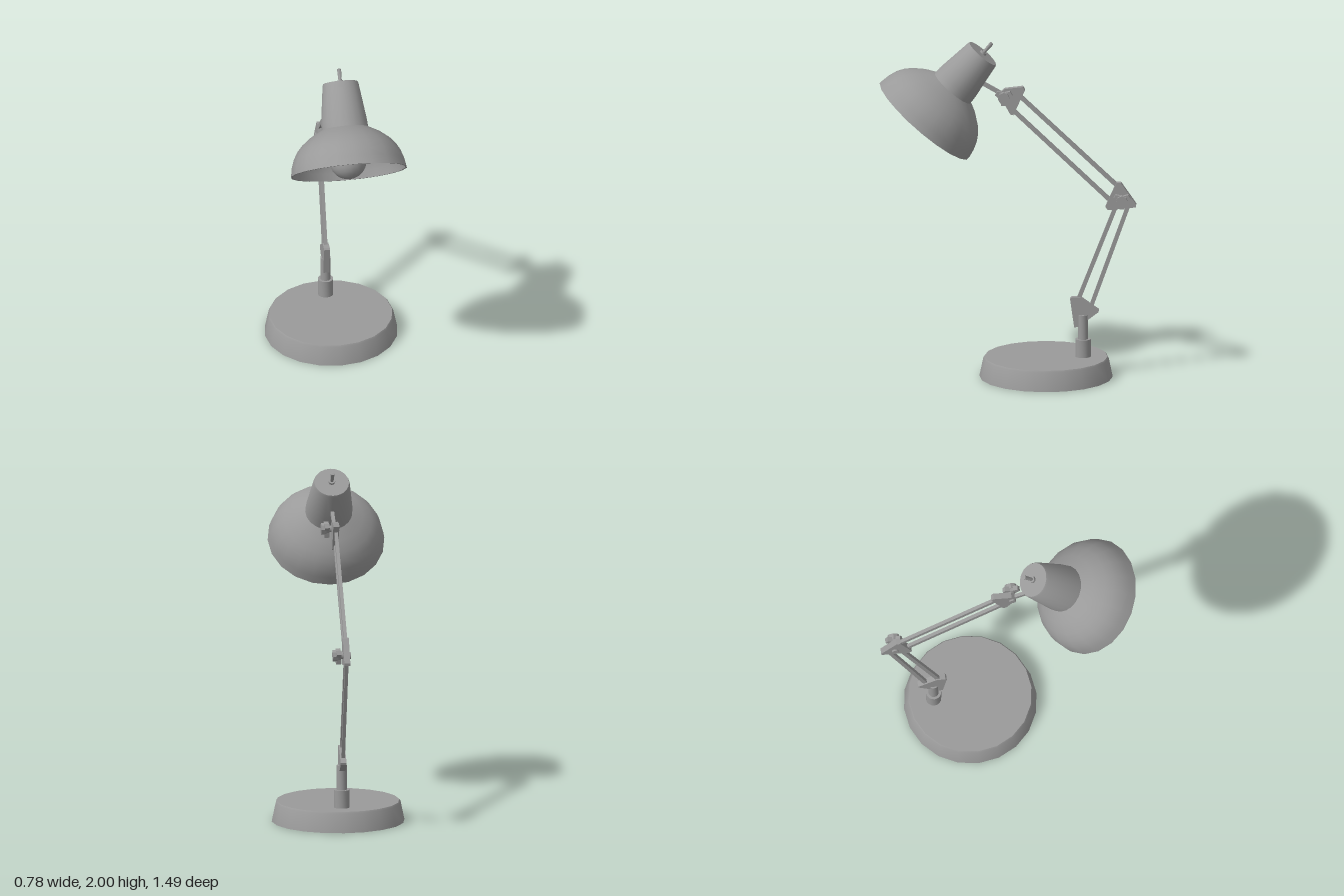
import * as THREE from 'three';
import { toCreasedNormals } from 'three/addons/utils/BufferGeometryUtils.js';

const grey = new THREE.MeshStandardMaterial({ color: 0x9a9a9a });
const greyOpen = new THREE.MeshStandardMaterial({ color: 0x9a9a9a, side: THREE.DoubleSide });
const SIDES = 20;

function add(parent, name, geometry, material = grey) {
  const mesh = new THREE.Mesh(geometry, material);
  mesh.name = name;
  parent.add(mesh);
  return mesh;
}

// Turned part from [radius, height] pairs
function turned(parent, name, profile, sides = SIDES, crease = 0.6) {
  const points = profile.map(([r, y]) => new THREE.Vector2(r, y));
  return add(parent, name, toCreasedNormals(new THREE.LatheGeometry(points, sides), crease), greyOpen);
}

// Flat plate in the z-y plane from [z, y] corners, from x0 to x1
function plate(parent, name, corners, x0, x1) {
  const shape = new THREE.Shape(corners.map(([z, y]) => new THREE.Vector2(-z, y)));
  const geometry = new THREE.ExtrudeGeometry(shape, { depth: x1 - x0, bevelEnabled: false });
  geometry.rotateY(Math.PI / 2).translate(x0, 0, 0);
  return add(parent, name, geometry);
}

// Flat-sided bar between two [z, y] points
function bar(parent, name, a, b) {
  const dz = b[0] - a[0], dy = b[1] - a[1];
  const mesh = add(parent, name, new THREE.BoxGeometry(0.02, Math.hypot(dz, dy), 0.024));
  mesh.position.set(-0.003, (a[1] + b[1]) / 2, (a[0] + b[0]) / 2);
  mesh.rotation.x = Math.atan2(dz, dy);
  return mesh;
}

// Clamping knob: bolt, three-lobed grip and faceted cap on the +x side
function knob(parent, name, z, y) {
  const group = new THREE.Group();
  group.name = name;
  const bolt = add(group, 'bolt', new THREE.CylinderGeometry(0.02, 0.02, 0.06, 10));
  bolt.rotation.z = Math.PI / 2;
  const grip = [];
  for (let i = 0; i < 12; i++) {
    const a = (i / 12) * Math.PI * 2 + 0.26;
    const r = i % 4 < 2 ? 0.052 : 0.03;
    grip.push([r * Math.cos(a), r * Math.sin(a)]);
  }
  plate(group, 'grip', grip, 0.028, 0.056);
  const cap = add(group, 'cap', toCreasedNormals(new THREE.CylinderGeometry(0.034, 0.034, 0.03, 8), 0.5));
  cap.rotation.z = Math.PI / 2;
  cap.position.x = 0.06;
  group.position.set(0, y, z);
  parent.add(group);
}

export function createModel() {
  const lamp = new THREE.Group();
  lamp.name = 'deskLamp';

  // Hollow base, open underneath
  turned(lamp, 'base', [[0.388, 0], [0.365, 0.11], [0.358, 0.12], [0, 0.12]]).position.z = -0.22;

  // Stepped post
  turned(lamp, 'post', [
    [0, 0.1], [0.045, 0.1], [0.045, 0.225], [0.03, 0.225], [0.03, 0.37], [0, 0.37],
  ], 16).position.z = -0.435;

  // Joint brackets with blunted corners
  plate(lamp, 'lowerBracket', [
    [-0.36, 0.465], [-0.368, 0.475], [-0.42, 0.477], [-0.528, 0.4], [-0.525, 0.388], [-0.41, 0.3], [-0.384, 0.295],
  ], -0.02, 0.015);
  plate(lamp, 'elbowBracket', [
    [-0.565, 1.02], [-0.63, 1.165], [-0.655, 1.165], [-0.745, 1.035], [-0.742, 1.018], [-0.58, 1.0],
  ], -0.02, 0.015);
  plate(lamp, 'headBracket', [
    [0.045, 1.7], [0.02, 1.722], [-0.085, 1.735], [-0.098, 1.715], [-0.03, 1.565], [-0.012, 1.57], [0.035, 1.655],
  ], -0.02, 0.015);

  // Parallel bars of the two arms
  bar(lamp, 'lowerArmFrontBar', [-0.4, 0.44], [-0.63, 1.03]);
  bar(lamp, 'lowerArmBackBar', [-0.475, 0.4], [-0.7, 1.03]);
  bar(lamp, 'upperArmTopBar', [-0.065, 1.68], [-0.675, 1.105]);
  bar(lamp, 'upperArmBottomBar', [-0.015, 1.605], [-0.615, 1.035]);

  // Knobs at the elbow and the head
  knob(lamp, 'elbowKnob', -0.663, 1.065);
  knob(lamp, 'headKnob', 0.025, 1.68);

  // Head, tilted forward about its rim centre
  bar(lamp, 'headStem', [0.02, 1.68], [0.17, 1.765]);
  const head = new THREE.Group();
  head.name = 'head';
  head.position.set(0, 1.528, 0.488);
  head.rotation.x = -0.701;
  lamp.add(head);

  // Thin-walled shade: inner skin from the neck to the rim, outer skin back up
  const skin = [[0.341, 0], [0.332, 0.05], [0.316, 0.097], [0.291, 0.14], [0.257, 0.178], [0.202, 0.221], [0.13, 0.26]];
  const inner = skin.map(([r, y]) => [r - 0.01, Math.max(0, y - 0.008)]);
  turned(head, 'shade', [[0.05, 0.268], ...inner.reverse(), ...skin]);
  turned(head, 'socketHousing', [[0.138, 0.25], [0.135, 0.3], [0.106, 0.515], [0.101, 0.527], [0, 0.527]]);

  // Bulb with its neck
  const bulb = [];
  for (let i = 0; i <= 10; i++) {
    const a = -Math.PI / 2 + (i / 10) * Math.PI * 0.85;
    bulb.push([0.11 * Math.cos(a), 0.07 + 0.11 * Math.sin(a)]);
  }
  turned(head, 'bulb', [...bulb, [0.05, 0.21], [0.05, 0.3]], 16);

  // Toggle switch on top
  turned(head, 'switch', [
    [0.02, 0.52], [0.02, 0.54], [0.01, 0.54], [0.012, 0.608], [0, 0.612],
  ], 8, 0.9);

  return lamp;
}
